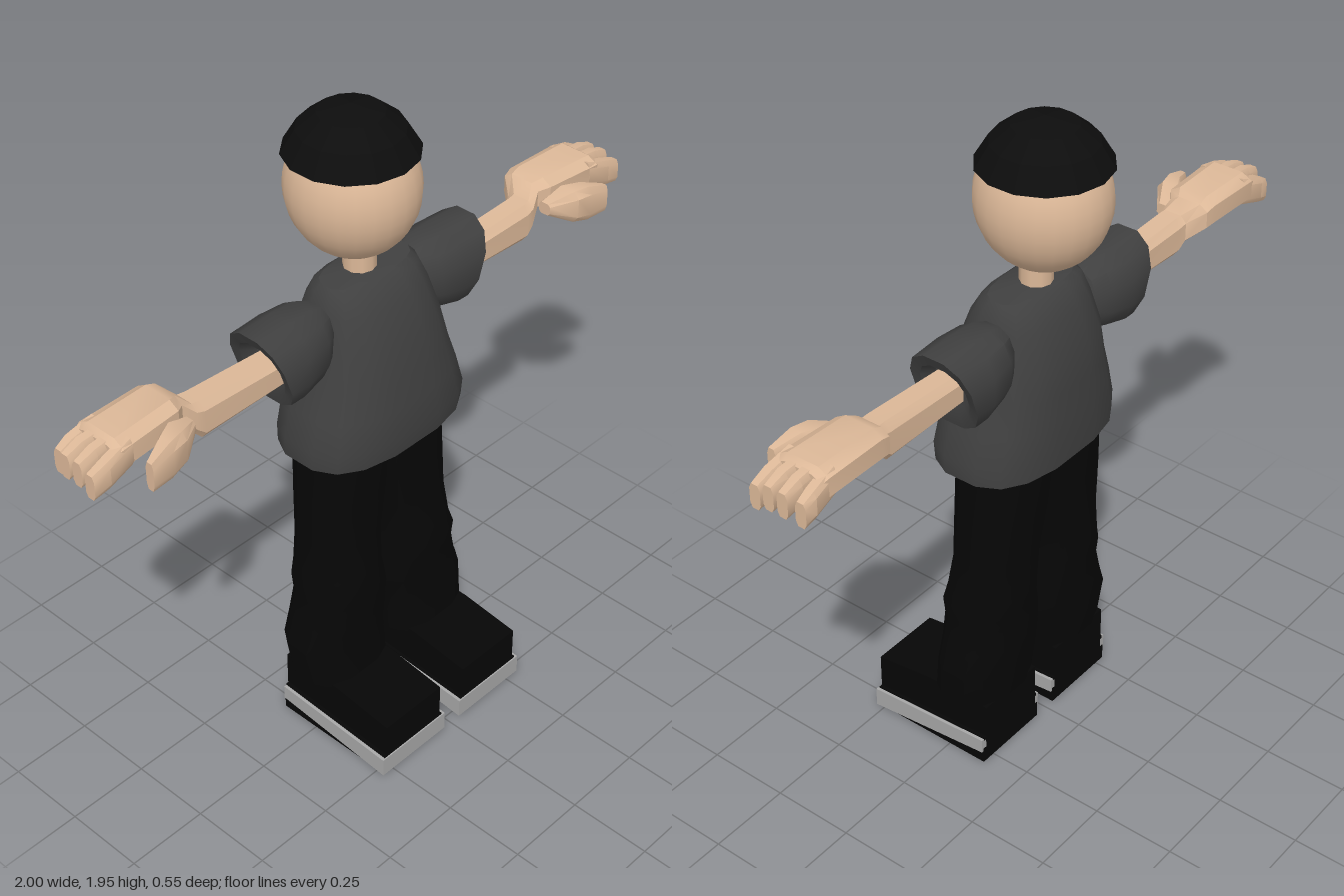
import * as THREE from 'three';
import { toCreasedNormals } from 'three/addons/utils/BufferGeometryUtils.js';

const paint = (name, color) => Object.assign(new THREE.MeshStandardMaterial({ color }), { name });

// Unit rounded outline of n corners; a lower e makes it boxier
function outline(n, e) {
  const soft = (v) => Math.sign(v) * Math.pow(Math.abs(v), e);
  const k = soft(Math.cos(Math.PI / n));
  return Array.from({ length: n }, (_, i) => {
    const a = ((i + 0.5) / n) * Math.PI * 2;
    return [soft(Math.cos(a)) / k, soft(Math.sin(a)) / k];
  });
}

// Horizontal section between x0..x1 and z0..z1
const ringY = (y, x0, x1, z0, z1, n = 16, e = 0.75) =>
  outline(n, e).map(([u, v]) => [(x0 + x1) / 2 + (u * (x1 - x0)) / 2, y, (z0 + z1) / 2 + (v * (z1 - z0)) / 2]);

// Upright section across the arm; slant leans its top outward
const ringX = (s, [x, y, hy, z, hz, slant = 0], n = 8, e = 0.6) =>
  outline(n, e).map(([u, v]) => [s * (x + slant * u * hy), y + u * hy, z + v * hz]);

// Skin over a row of sections, closed at both ends and always facing outward
function loft(rings, crease = 0.7) {
  const n = rings[0].length;
  const pts = rings.flat();
  const mid = (r) => [0, 1, 2].map((k) => r.reduce((t, p) => t + p[k], 0) / n);
  const a = pts.push(mid(rings[0])) - 1;
  const b = pts.push(mid(rings[rings.length - 1])) - 1;
  const last = (rings.length - 1) * n;
  const idx = [];
  for (let i = 0; i < n; i++) {
    const j = (i + 1) % n;
    for (let r = 0; r < last; r += n) idx.push(r + i, r + j, r + n + j, r + i, r + n + j, r + n + i);
    idx.push(a, j, i, b, last + i, last + j);
  }
  let volume = 0;
  const [p, q, w] = [0, 0, 0].map(() => new THREE.Vector3());
  for (let i = 0; i < idx.length; i += 3) {
    p.fromArray(pts[idx[i]]); q.fromArray(pts[idx[i + 1]]); w.fromArray(pts[idx[i + 2]]);
    volume += p.dot(q.cross(w));
  }
  if (volume < 0) idx.reverse();
  const g = new THREE.BufferGeometry();
  g.setAttribute('position', new THREE.Float32BufferAttribute(pts.flat(), 3));
  g.setIndex(idx);
  return toCreasedNormals(g, crease);
}

// Side profile of [z, y] points spread between x0 and x1
const slab = (profile, x0, x1) => loft([x0, x1].map((x) => profile.map(([z, y]) => [x, y, z])), 0.1);

export function createModel() {
  const model = new THREE.Group();
  model.name = 'figure';
  const skin = paint('skin', 0xdcb898);
  const shirt = paint('shirt grey', 0x404040);
  const black = paint('trouser black', 0x060606);
  const hairBlack = paint('hair black', 0x0d0d0d);
  const soleGrey = paint('sole grey', 0xa6a6a6);

  const add = (name, geometry, material, parent = model) => {
    const mesh = new THREE.Mesh(geometry, material);
    mesh.name = name;
    parent.add(mesh);
    return mesh;
  };

  // Head, hair and neck
  const head = add('head', new THREE.SphereGeometry(1, 24, 18), skin);
  head.scale.set(0.177, 0.198, 0.187);
  head.position.set(-0.02, 1.715, -0.085);
  const cap = [[0.08, 1.815], [0.184, 1.815], [0.145, 1.88], [0.09, 1.925], [0, 1.947]];
  const capShape = new THREE.LatheGeometry(cap.map(([r, y]) => new THREE.Vector2(r, y)), 14);
  add('hair', toCreasedNormals(capShape, 0.15), hairBlack).position.set(-0.018, 0, -0.09);
  const neck = add('neck', new THREE.CylinderGeometry(0.046, 0.046, 0.14, 10), skin);
  neck.position.set(-0.01, 1.48, -0.072);

  // Shirt body: [y, half width, front z, back z]
  const body = [
    [0.975, 0.28, 0.128, -0.217], [1.03, 0.28, 0.135, -0.22], [1.12, 0.255, 0.125, -0.218],
    [1.2, 0.228, 0.113, -0.215], [1.3, 0.205, 0.095, -0.21], [1.4, 0.178, 0.06, -0.18],
    [1.45, 0.162, 0.03, -0.155], [1.47, 0.145, 0.005, -0.13],
  ];
  add('shirt', loft(body.map(([y, w, f, b]) => ringY(y, -w, w, b, f))), shirt);

  // Section tables, for the +x side
  const sleeve = [
    [0.152, 1.345, 0.035, -0.075, 0.03], [0.175, 1.34, 0.085, -0.075, 0.07],
    [0.22, 1.333, 0.107, -0.075, 0.095], [0.3, 1.324, 0.118, -0.075, 0.106],
    [0.375, 1.32, 0.12, -0.075, 0.1, 0.33], [0.37, 1.32, 0.085, -0.075, 0.075, 0.33],
    [0.34, 1.32, 0.06, -0.07, 0.055],
  ];
  const arm = [
    [0.31, 1.317, 0.045, -0.065, 0.045], [0.62, 1.318, 0.058, -0.065, 0.046],
    [0.645, 1.332, 0.046, -0.068, 0.046], [0.68, 1.37, 0.042, -0.098, 0.062],
    [0.71, 1.378, 0.046, -0.09, 0.075], [0.9, 1.374, 0.045, -0.083, 0.082],
    [0.92, 1.37, 0.036, -0.083, 0.076],
  ];
  const thumb = [
    [0.68, 1.35, 0.018, -0.01, 0.02], [0.75, 1.345, 0.05, 0.015, 0.042],
    [0.8, 1.34, 0.055, 0.034, 0.03], [0.87, 1.33, 0.042, 0.052, 0.014],
  ];
  // Trouser leg: [y, inner x, outer x, front z, back z]
  const leg = [
    [1, -0.015, 0.22, 0.06, -0.185], [0.8, -0.002, 0.236, 0.055, -0.17],
    [0.65, 0.018, 0.247, 0.05, -0.155], [0.55, 0.032, 0.252, 0.068, -0.16],
    [0.5, 0.024, 0.27, 0.075, -0.155], [0.45, 0.011, 0.268, 0.07, -0.15],
    [0.38, 0.01, 0.288, 0.065, -0.15], [0.31, 0.012, 0.318, 0.06, -0.145],
    [0.19, 0.022, 0.303, 0.08, -0.135],
  ];
  // Shoe side profiles
  const upper = [[0.272, 0.03], [0.272, 0.175], [0.08, 0.2], [-0.128, 0.2], [-0.128, 0.03]];
  const welt = [[0.273, 0.055], [0.273, 0.065], [-0.126, 0.09], [-0.126, 0.08]];
  const band = [[0.277, 0], [0.277, 0.06], [-0.125, 0.085], [-0.125, 0.04]];
  const tread = [[0.25, 0], [0.25, 0.01], [-0.127, 0.05], [-0.127, 0]];

  for (const s of [1, -1]) {
    const side = s > 0 ? 'left' : 'right';

    // Arm, hand and sleeve
    const armGroup = new THREE.Group();
    armGroup.name = side + 'Arm';
    model.add(armGroup);
    add('sleeve', loft(sleeve.map((r) => ringX(s, r, 12, 0.85))), shirt, armGroup);
    add('forearmAndPalm', loft(arm.map((r) => ringX(s, r)), 0.5), skin, armGroup);
    add('thumb', loft(thumb.map((r) => ringX(s, r)), 0.6), skin, armGroup);
    [[-0.148, 1.335], [-0.105, 1.352], [-0.06, 1.352], [-0.016, 1.337]].forEach(([z, y], i) => {
      const finger = [
        [0.87, 1.374, 0.04, z * 0.9 - 0.008, 0.02], [0.95, y + 0.015, 0.04, z, 0.021],
        [i === 0 ? 0.985 : 1, y, 0.036, z, 0.017],
      ];
      add('finger' + (i + 1), loft(finger.map((r) => ringX(s, r)), 0.5), skin, armGroup);
    });

    // Leg and shoe
    const legGroup = new THREE.Group();
    legGroup.name = side + 'Leg';
    legGroup.position.x = 0.005;
    model.add(legGroup);
    const rings = leg.map(([y, i, o, f, b]) => ringY(y, Math.min(s * i, s * o), Math.max(s * i, s * o), b, f, 12));
    add('trouserLeg', loft(rings), black, legGroup);
    add('shoeUpper', slab(upper, s * 0.05, s * 0.275), black, legGroup);
    add('shoeWelt', slab(welt, s * 0.042, s * 0.285), black, legGroup);
    add('soleBand', slab(band, s * 0.032, s * 0.295), soleGrey, legGroup);
    add('tread', slab(tread, s * 0.038, s * 0.289), black, legGroup);
  }
  return model;
}
